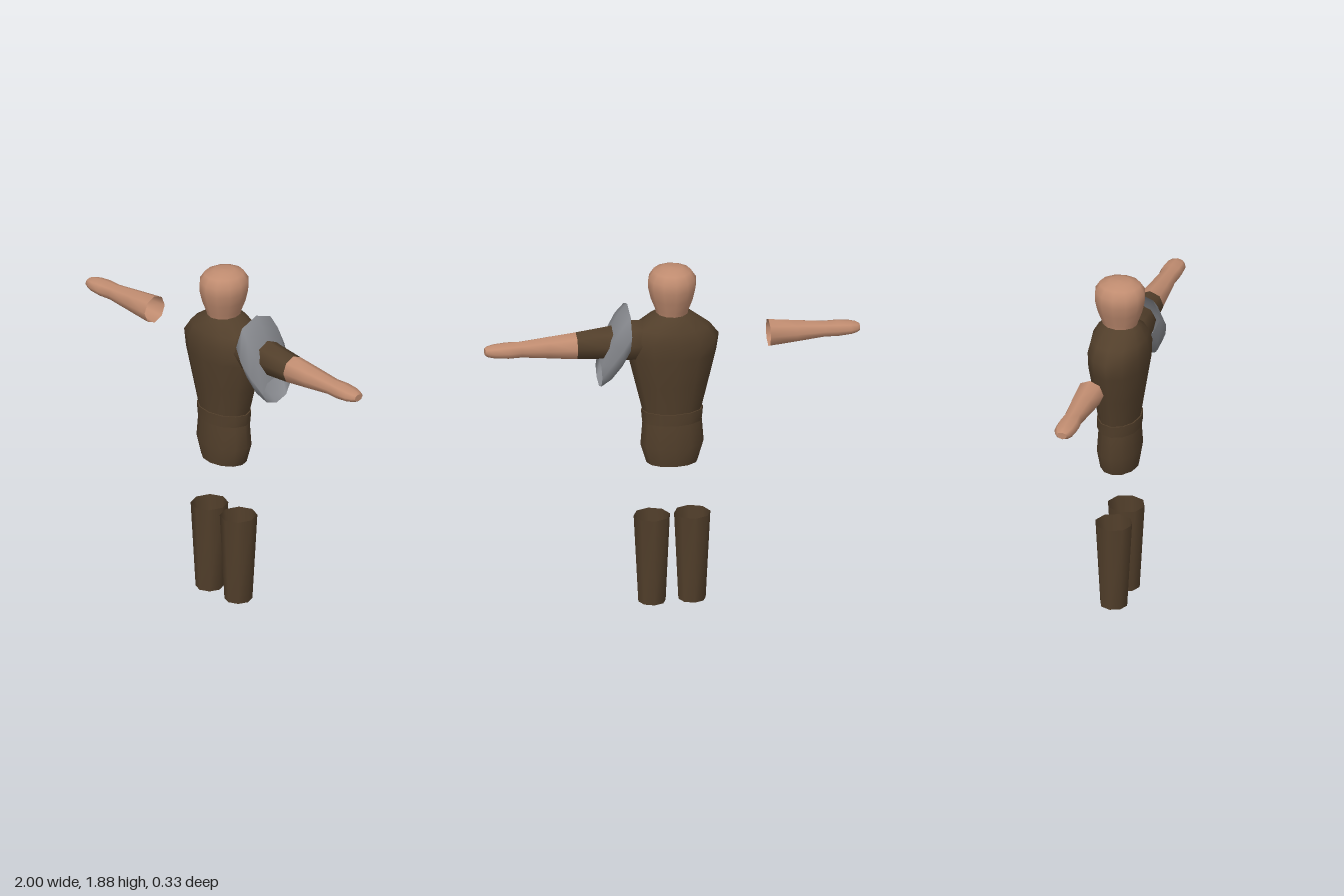
import * as THREE from 'three';

const mat = (name, color) =>
  new THREE.MeshStandardMaterial({ name, color, side: THREE.DoubleSide });

// Smooth skin over elliptical rings [position, centre offset, radius a, radius b].
// axis 'y': a = x radius, offset in x; axis 'x': a = y radius, offset in y.
function loft(rings, sides, axis, { capStart = false, capEnd = false } = {}) {
  const pos = [], idx = [];
  const put = (t, u, v) => (axis === 'y' ? pos.push(u, t, v) : pos.push(t, u, -v));
  const addRing = ([t, c, a, b]) => {
    const start = pos.length / 3;
    for (let j = 0; j < sides; j++) {
      const th = (j / sides) * Math.PI * 2;
      put(t, c + a * Math.cos(th), b * Math.sin(th));
    }
    return start;
  };
  const starts = rings.map(addRing);
  for (let i = 0; i < rings.length - 1; i++) {
    for (let j = 0; j < sides; j++) {
      const k = (j + 1) % sides;
      const a = starts[i] + j, b = starts[i] + k;
      const c = starts[i + 1] + j, d = starts[i + 1] + k;
      idx.push(a, c, b, b, c, d);
    }
  }
  // Flat caps keep their own vertices so the rim stays sharp
  const cap = (ring, end) => {
    const s = addRing(ring), m = pos.length / 3;
    put(ring[0], ring[1], 0);
    for (let j = 0; j < sides; j++) {
      const a = s + j, b = s + ((j + 1) % sides);
      end ? idx.push(m, b, a) : idx.push(m, a, b);
    }
  };
  if (capStart) cap(rings[0], false);
  if (capEnd) cap(rings[rings.length - 1], true);
  const g = new THREE.BufferGeometry();
  g.setAttribute('position', new THREE.Float32BufferAttribute(pos, 3));
  g.setIndex(idx);
  g.computeVertexNormals();
  return g;
}

export function createModel() {
  const model = new THREE.Group();
  model.name = 'figure';
  const skin = mat('skin', 0xc08c70);
  const cloth = mat('brown cloth', 0x523f2b);
  const steel = mat('grey steel', 0x85878c);
  const add = (name, geometry, material) => {
    const mesh = new THREE.Mesh(geometry, material);
    mesh.name = name;
    model.add(mesh);
    return mesh;
  };

  // Head and neck
  add('head', loft([
    [1.6, 0, 0.08, 0.085], [1.65, 0, 0.09, 0.1], [1.71, 0, 0.114, 0.122],
    [1.77, 0, 0.128, 0.136], [1.82, 0, 0.127, 0.135], [1.86, 0, 0.1, 0.11],
    [1.877, 0, 0.055, 0.06], [1.88, 0, 0.001, 0.001],
  ], 12, 'y'), skin);

  // Tunic: upper body, belt and skirt
  add('upperBody', loft([
    [1.05, 0, 0.155, 0.108], [1.09, 0, 0.16, 0.11], [1.24, 0, 0.197, 0.133],
    [1.4, 0, 0.236, 0.158], [1.49, 0, 0.25, 0.16], [1.555, 0, 0.2, 0.147],
    [1.61, 0, 0.12, 0.115], [1.63, 0, 0.083, 0.09],
  ], 12, 'y', { capEnd: true }), cloth);
  add('belt', loft([
    [1.02, 0, 0.16, 0.115], [1.085, 0, 0.166, 0.117],
  ], 12, 'y', { capStart: true, capEnd: true }), cloth);
  add('skirt', loft([
    [0.785, 0, 0.137, 0.1], [0.89, 0, 0.169, 0.116], [1.04, 0, 0.157, 0.106],
  ], 12, 'y', { capStart: true }), cloth);

  // Left sleeve
  add('shoulder', loft([
    [0.13, 1.49, 0.09, 0.09], [0.17, 1.48, 0.112, 0.105],
    [0.23, 1.482, 0.114, 0.11], [0.33, 1.476, 0.094, 0.09],
  ], 8, 'x'), cloth);
  add('sleeve', loft([
    [0.32, 1.476, 0.096, 0.092], [0.36, 1.476, 0.09, 0.085], [0.515, 1.47, 0.076, 0.075],
  ], 8, 'x'), cloth);

  // Bare forearms with tapering hands, open at the elbow
  const forearm = loft([
    [0.515, 1.47, 0.076, 0.075], [0.66, 1.47, 0.06, 0.064], [0.81, 1.47, 0.043, 0.051],
    [0.88, 1.47, 0.042, 0.06], [0.95, 1.47, 0.035, 0.056], [0.985, 1.47, 0.028, 0.042],
    [1, 1.47, 0.019, 0.028],
  ], 8, 'x', { capEnd: true });
  add('leftForearm', forearm, skin);
  add('rightForearm', forearm, skin).rotation.y = Math.PI;

  // Slanted shoulder guard, an open shell around the left sleeve
  add('shoulderGuard', loft([
    [0.24, 1.555, 0.135, 0.15], [0.285, 1.49, 0.15, 0.163],
    [0.34, 1.405, 0.138, 0.142], [0.39, 1.313, 0.078, 0.1],
  ], 8, 'x'), steel);

  // Lower legs, open tubes
  for (const side of [1, -1]) {
    add(side > 0 ? 'leftLeg' : 'rightLeg', loft([
      [0, side * 0.107, 0.073, 0.074], [0.485, side * 0.108, 0.097, 0.101],
    ], 8, 'y'), cloth);
  }
  return model;
}
